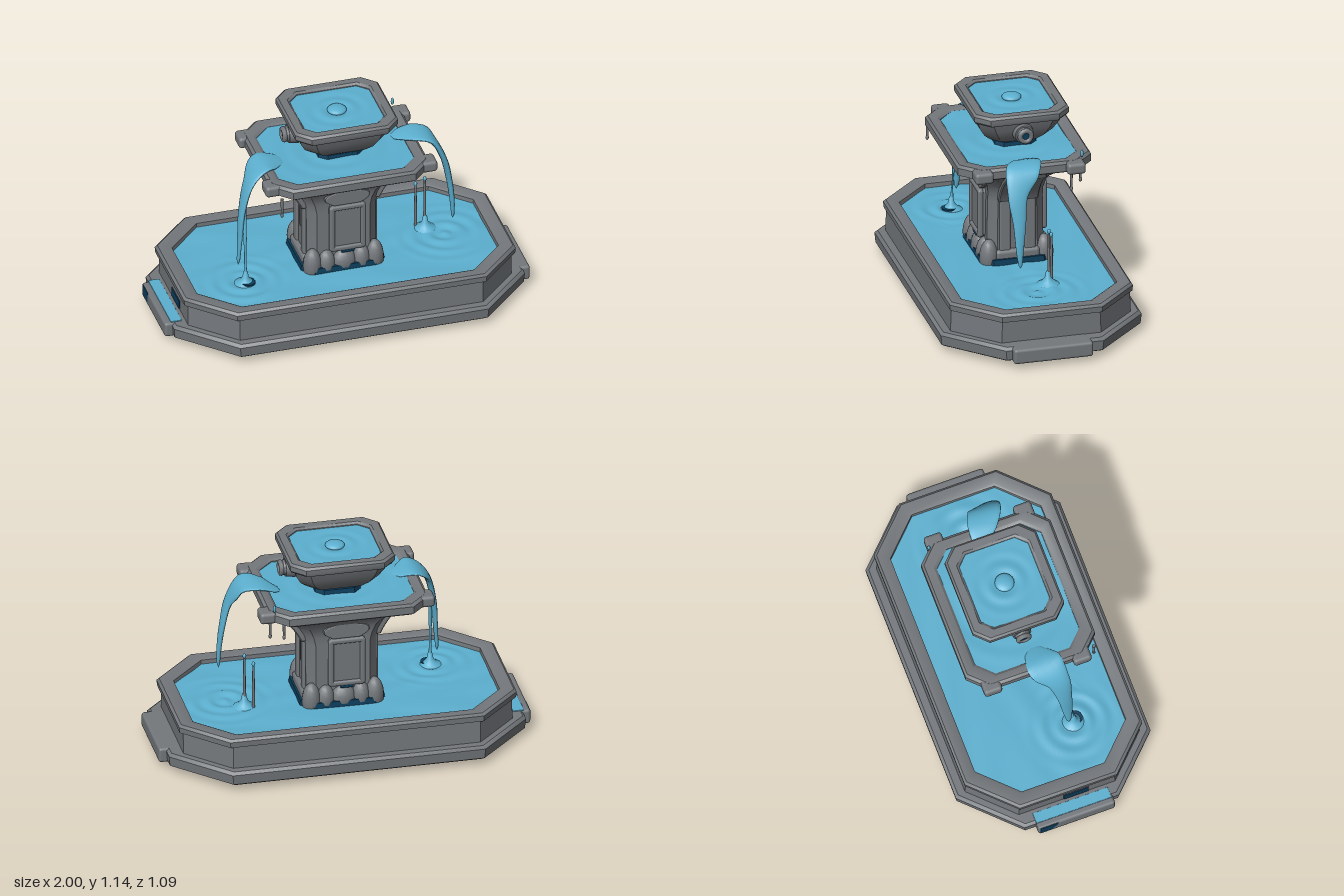
import * as THREE from 'three';
import { toCreasedNormals } from 'three/addons/utils/BufferGeometryUtils.js';
import { RoundedBoxGeometry } from 'three/addons/geometries/RoundedBoxGeometry.js';

const material = (name, color) => {
  const m = new THREE.MeshStandardMaterial({ color });
  m.name = name;
  return m;
};

// Rectangle with cut corners, each side split into n steps
function octagon(w, d, c, n = 1) {
  const a = w - c, b = d - c;
  const p = [[w, b], [w, -b], [a, -d], [-a, -d], [-w, -b], [-w, b], [-a, d], [a, d]];
  return p.flatMap(([x, z], i) => {
    const [x2, z2] = p[(i + 1) % 8];
    return Array.from({ length: n }, (_, k) => [x + (x2 - x) * k / n, z + (z2 - z) * k / n]);
  });
}

// Skin joining closed rings of equal point count
function skin(rings) {
  const n = rings[0].length, idx = [];
  for (let r = 0; r < rings.length - 1; r++)
    for (let i = 0; i < n; i++) {
      const a = r * n + i, b = r * n + (i + 1) % n;
      idx.push(a, b, b + n, a, b + n, a + n);
    }
  const g = new THREE.BufferGeometry();
  g.setAttribute('position', new THREE.Float32BufferAttribute(rings.flat(2), 3));
  g.setIndex(idx);
  g.computeVertexNormals();
  return g;
}

// Profile entries: height, half width, half depth, corner cut
const loft = (profile) => toCreasedNormals(
  skin(profile.map(([y, w, d, c]) => octagon(w, d, c).map(([x, z]) => [x, y, z]))), 0.6);

// Rippled water filling a cut-corner basin
function pool(w, d, c, y, steps, wave) {
  const rings = [];
  for (let r = 0; r <= steps; r++) {
    const t = Math.max(1 - r / steps, 0.002);
    rings.push(octagon(w * t, d * t, c * t, 20).map(([x, z]) => [x, y + wave(x, z), z]));
  }
  return skin(rings);
}
const ripple = (x, z, cx, cz, reach, length, amp) => {
  const r = Math.hypot(x - cx, z - cz);
  return amp * Math.cos(r * 2 * Math.PI / length) * Math.max(0, 1 - r / reach);
};

// Falling sheet; stations are x, y, z, half width, half thickness
function sheet(stations) {
  const path = new THREE.CatmullRomCurve3(stations.map(s => new THREE.Vector3(s[0], s[1], s[2])));
  const size = new THREE.CatmullRomCurve3(stations.map(s => new THREE.Vector3(s[3], s[4], 0)));
  const rings = [];
  for (let k = 0; k <= 30; k++) {
    const u = k / 30, p = path.getPoint(u), s = size.getPoint(u), t = path.getTangent(u);
    const cap = k === 0 || k === 30 ? 0.05 : 1;
    const out = new THREE.Vector3(-t.y, t.x, 0).normalize();
    const side = new THREE.Vector3().crossVectors(t, out).normalize();
    rings.push(Array.from({ length: 14 }, (_, i) => {
      const a = i / 14 * Math.PI * 2;
      return p.clone().addScaledVector(out, Math.cos(a) * s.y * cap)
        .addScaledVector(side, Math.sin(a) * s.x * cap).toArray();
    }));
  }
  return skin(rings);
}

export function createModel() {
  const stone = material('stone', 0x74787c);
  const water = material('water', 0x5cb0d0);
  const deep = material('deep blue', 0x0b3d5c);
  const root = new THREE.Group();
  root.name = 'fountain';
  const add = (name, geo, mat, x = 0, y = 0, z = 0, parent = root) => {
    const m = new THREE.Mesh(geo, mat);
    m.name = name;
    m.position.set(x, y, z);
    parent.add(m);
    return m;
  };
  const box = (w, h, d, r = 0.012) => new RoundedBoxGeometry(w, h, d, 2, r);

  // Plinth with end slabs and dark underside
  add('plinth', loft([[0.034, 0.9, 0.49, 0.26], [0.034, 0.935, 0.525, 0.27], [0.045, 0.955, 0.54, 0.28],
    [0.1, 0.96, 0.545, 0.28], [0.115, 0.945, 0.53, 0.275], [0.115, 0.86, 0.46, 0.2]]), stone);
  for (const s of [-1, 1]) add('plinthEnd', box(0.16, 0.083, 0.43, 0.015), stone, s * 0.92, 0.0745, 0.015);
  add('underside', loft([[0.031, 0.002, 0.002, 0.001], [0.031, 0.92, 0.505, 0.265], [0.036, 0.925, 0.51, 0.265]]), deep);
  add('plinthPuddle', box(0.06, 0.006, 0.42, 0.002), water, -0.935, 0.117, 0.01);
  add('plinthStain', box(0.005, 0.06, 0.1, 0.002), deep, -1.0 + 0.0025, 0.08, -0.14);
  add('wallStain', box(0.006, 0.05, 0.14, 0.002), deep, -0.889, 0.15, 0.05);
  add('undersideDrip', new THREE.CapsuleGeometry(0.007, 0.022, 4, 8), stone, -0.78, 0.018, 0.085);

  // Lower basin
  add('lowerBasin', loft([[0.11, 0.885, 0.49, 0.22], [0.235, 0.885, 0.485, 0.22], [0.24, 0.905, 0.495, 0.225],
    [0.272, 0.908, 0.497, 0.225], [0.285, 0.895, 0.485, 0.22], [0.285, 0.84, 0.435, 0.2],
    [0.278, 0.825, 0.422, 0.19], [0.22, 0.82, 0.42, 0.19]]), stone);
  add('lowerWater', pool(0.823, 0.422, 0.19, 0.255, 50, (x, z) =>
    ripple(x, z, -0.55, 0.16, 0.3, 0.085, 0.007) + ripple(x, z, 0.6, 0, 0.32, 0.09, 0.007)
    + 0.003 * Math.sin(9 * x + 4 * Math.sin(7 * z)) * Math.cos(11 * z)), water);
  add('whirlpool', new THREE.CylinderGeometry(0.038, 0.038, 0.008, 16), deep, -0.53, 0.262, 0.18);

  // Column and flare
  add('column', loft([[0.24, 0.19, 0.155, 0.045], [0.6, 0.19, 0.15, 0.045], [0.65, 0.205, 0.15, 0.05],
    [0.7, 0.235, 0.16, 0.06], [0.76, 0.285, 0.2, 0.08], [0.81, 0.35, 0.26, 0.1], [0.85, 0.4, 0.32, 0.1]]), stone);
  add('footCollar', loft([[0.24, 0.23, 0.2, 0.06], [0.285, 0.225, 0.195, 0.06], [0.29, 0.15, 0.12, 0.04]]), deep);

  // Framed panel, crest and leafy foot on the front and back
  const crest = new THREE.Shape();
  crest.moveTo(-0.07, 0);
  crest.quadraticCurveTo(-0.15, 0.035, -0.09, 0.06);
  crest.quadraticCurveTo(-0.04, 0.07, -0.055, 0.09);
  crest.quadraticCurveTo(-0.095, 0.13, -0.05, 0.135);
  crest.quadraticCurveTo(0, 0.115, 0.05, 0.135);
  crest.quadraticCurveTo(0.095, 0.13, 0.055, 0.09);
  crest.quadraticCurveTo(0.04, 0.07, 0.09, 0.06);
  crest.quadraticCurveTo(0.15, 0.035, 0.07, 0);
  const crestGeo = new THREE.ExtrudeGeometry(crest, { depth: 0.045, bevelSize: 0.008, bevelThickness: 0.01, bevelSegments: 2, curveSegments: 6 });
  const lump = new THREE.SphereGeometry(1, 14, 10);
  for (const turn of [0, Math.PI]) {
    const face = new THREE.Group();
    face.name = turn ? 'backOrnament' : 'frontOrnament';
    face.rotation.y = turn;
    root.add(face);
    add('panel', box(0.19, 0.27, 0.06, 0.02), stone, 0.015, 0.51, 0.15, face);
    for (const s of [-1, 1]) {
      add('panelStile', box(0.03, 0.27, 0.03), stone, 0.015 + s * 0.085, 0.51, 0.177, face);
      add('panelRail', box(0.19, 0.03, 0.03), stone, 0.015, 0.51 + s * 0.125, 0.177, face);
    }
    add('crest', crestGeo, stone, 0.015, 0.655, 0.125, face);
    for (const [x, h, w] of [[0, 0.075, 0.07], [-0.095, 0.085, 0.05], [0.095, 0.085, 0.05], [-0.17, 0.1, 0.05], [0.17, 0.1, 0.05]]) {
      const leaf = add('footLeaf', lump, stone, x, 0.285, 0.15, face);
      leaf.scale.set(w, h, 0.05);
    }
    add('footStain', box(0.07, 0.035, 0.008, 0.003), deep, 0.015, 0.375, 0.184, face);
  }

  // Corbels and ribs on both ends
  const corbel = new THREE.Shape();
  corbel.moveTo(0.15, 0.62);
  corbel.lineTo(0.21, 0.62);
  corbel.quadraticCurveTo(0.265, 0.74, 0.38, 0.81);
  corbel.lineTo(0.4, 0.85);
  corbel.lineTo(0.15, 0.85);
  const corbelGeo = new THREE.ExtrudeGeometry(corbel, { depth: 0.055, bevelSize: 0.006, bevelThickness: 0.006, bevelSegments: 1 });
  for (const turn of [0, Math.PI]) {
    const end = new THREE.Group();
    end.name = turn ? 'rightEnd' : 'leftEnd';
    end.rotation.y = turn;
    root.add(end);
    for (const s of [-1, 1]) {
      add('corbel', corbelGeo, stone, 0, 0, s * 0.075 - 0.0275, end);
      add('rib', box(0.03, 0.36, 0.06), stone, 0.188, 0.46, s * 0.068, end);
    }
    add('endFoot', box(0.05, 0.08, 0.24, 0.02), stone, 0.19, 0.29, 0, end);
    add('groove', box(0.006, 0.14, 0.02, 0.002), stone, 0.192, 0.52, 0, end);
  }

  // Middle basin with corner pads
  add('middleBasin', loft([[0.845, 0.3, 0.22, 0.1], [0.842, 0.42, 0.35, 0.1], [0.852, 0.435, 0.362, 0.1],
    [0.893, 0.435, 0.362, 0.1], [0.906, 0.42, 0.35, 0.095], [0.906, 0.385, 0.305, 0.09],
    [0.895, 0.37, 0.292, 0.085], [0.86, 0.37, 0.29, 0.085]]), stone);
  for (const x of [-1, 1]) for (const z of [-1, 1])
    add('cornerPad', box(0.09, 0.063, 0.1, 0.018), stone, x * 0.425 + 0.005, 0.874, z * 0.25);
  add('middleWater', pool(0.372, 0.293, 0.085, 0.892, 30, (x, z) =>
    ripple(x, z, 0, 0, 0.5, 0.11, 0.003) + 0.003 * Math.sin(14 * x + 5 * z)), water);

  // Stone drips under the middle basin
  for (const [x, z, h] of [[-0.39, 0.335, 0.1], [0.41, -0.235, 0.11], [0.35, -0.3, 0.09]]) {
    add('drip', new THREE.CylinderGeometry(0.009, 0.006, h, 8), stone, x, 0.85 - h / 2, z);
    add('dripTip', new THREE.SphereGeometry(0.009, 8, 6), stone, x, 0.85 - h, z).scale.y = 1.6;
  }
  add('droplet', new THREE.SphereGeometry(0.009, 8, 8), water, 0.4, 0.93, -0.295).scale.y = 2.4;

  // Upper bowl
  const bowl = new THREE.Group();
  bowl.name = 'upperBowl';
  bowl.position.set(0.013, 0, -0.015);
  root.add(bowl);
  add('bowlFoot', loft([[0.88, 0.125, 0.115, 0.04], [0.915, 0.12, 0.11, 0.04], [0.92, 0.06, 0.06, 0.02]]), deep, 0, 0, 0, bowl);
  add('bowl', loft([[0.912, 0.04, 0.04, 0.015], [0.914, 0.11, 0.095, 0.04], [0.94, 0.165, 0.145, 0.055],
    [0.98, 0.21, 0.185, 0.065], [1.03, 0.237, 0.215, 0.07], [1.08, 0.252, 0.232, 0.07], [1.084, 0.275, 0.25, 0.07],
    [1.095, 0.281, 0.256, 0.07], [1.123, 0.281, 0.256, 0.07], [1.135, 0.27, 0.245, 0.067],
    [1.135, 0.23, 0.205, 0.06], [1.125, 0.218, 0.193, 0.055], [1.1, 0.216, 0.19, 0.055]]), stone, 0, 0, 0, bowl);
  add('bowlWater', pool(0.219, 0.194, 0.055, 1.12, 30, (x, z) => ripple(x, z, 0, 0, 0.22, 0.09, 0.005)), water, 0, 0, 0, bowl);
  add('bubble', new THREE.SphereGeometry(0.052, 20, 12), water, 0, 1.122, 0, bowl).scale.y = 0.38;
  for (const s of [-1, 1]) {
    const spout = new THREE.Group();
    spout.name = 'spout';
    spout.position.set(s * 0.25, 1.02, 0);
    spout.rotation.z = -s * Math.PI / 2;
    bowl.add(spout);
    add('spoutBase', new THREE.CylinderGeometry(0.05, 0.057, 0.05, 20), stone, 0, -0.005, 0, spout);
    const lip = add('spoutLip', new THREE.TorusGeometry(0.03, 0.014, 8, 20), stone, 0, 0.042, 0, spout);
    lip.rotation.x = Math.PI / 2;
    add('spoutNeck', new THREE.CylinderGeometry(0.038, 0.045, 0.04, 20), stone, 0, 0.022, 0, spout);
    add('spoutHole', new THREE.CylinderGeometry(0.025, 0.025, 0.008, 16), deep, 0, 0.042, 0, spout);
  }

  // Waterfalls over both ends
  add('leftFall', sheet([[0.31, 0.893, -0.04, 0.03, 0.004], [0.42, 0.922, 0.01, 0.08, 0.012], [0.5, 0.905, 0.055, 0.09, 0.015],
    [0.56, 0.8, 0.095, 0.055, 0.016], [0.595, 0.65, 0.095, 0.035, 0.015], [0.612, 0.5, 0.098, 0.02, 0.012], [0.615, 0.405, 0.095, 0.008, 0.007]]), water);
  add('rightFall', sheet([[-0.3, 0.893, 0.01, 0.04, 0.004], [-0.42, 0.902, 0.05, 0.1, 0.012], [-0.5, 0.83, 0.095, 0.065, 0.016],
    [-0.545, 0.67, 0.115, 0.04, 0.015], [-0.56, 0.5, 0.125, 0.028, 0.012], [-0.57, 0.35, 0.13, 0.009, 0.008]]), water);
  add('rightTrickle', sheet([[-0.53, 0.72, 0.11, 0.012, 0.01], [-0.538, 0.5, 0.15, 0.01, 0.009], [-0.54, 0.26, 0.165, 0.01, 0.009]]), water);

  // Splashes and thin jets
  const splash = new THREE.LatheGeometry([[0.06, 0], [0.035, 0.015], [0.018, 0.035], [0.011, 0.07], [0.002, 0.075]]
    .map(([x, y]) => new THREE.Vector2(x, y)), 16);
  add('leftSplash', splash, water, 0.515, 0.256, -0.08);
  add('rightSplash', splash, water, -0.54, 0.252, 0.165);
  for (const [x, z, top] of [[0.515, -0.085, 0.555], [0.472, -0.11, 0.515]]) {
    add('jet', new THREE.CylinderGeometry(0.006, 0.009, top - 0.25, 8), stone, x, (top + 0.25) / 2, z);
    add('jetTip', new THREE.SphereGeometry(0.01, 8, 8), water, x, top, z).scale.y = 1.4;
  }
  return root;
}
